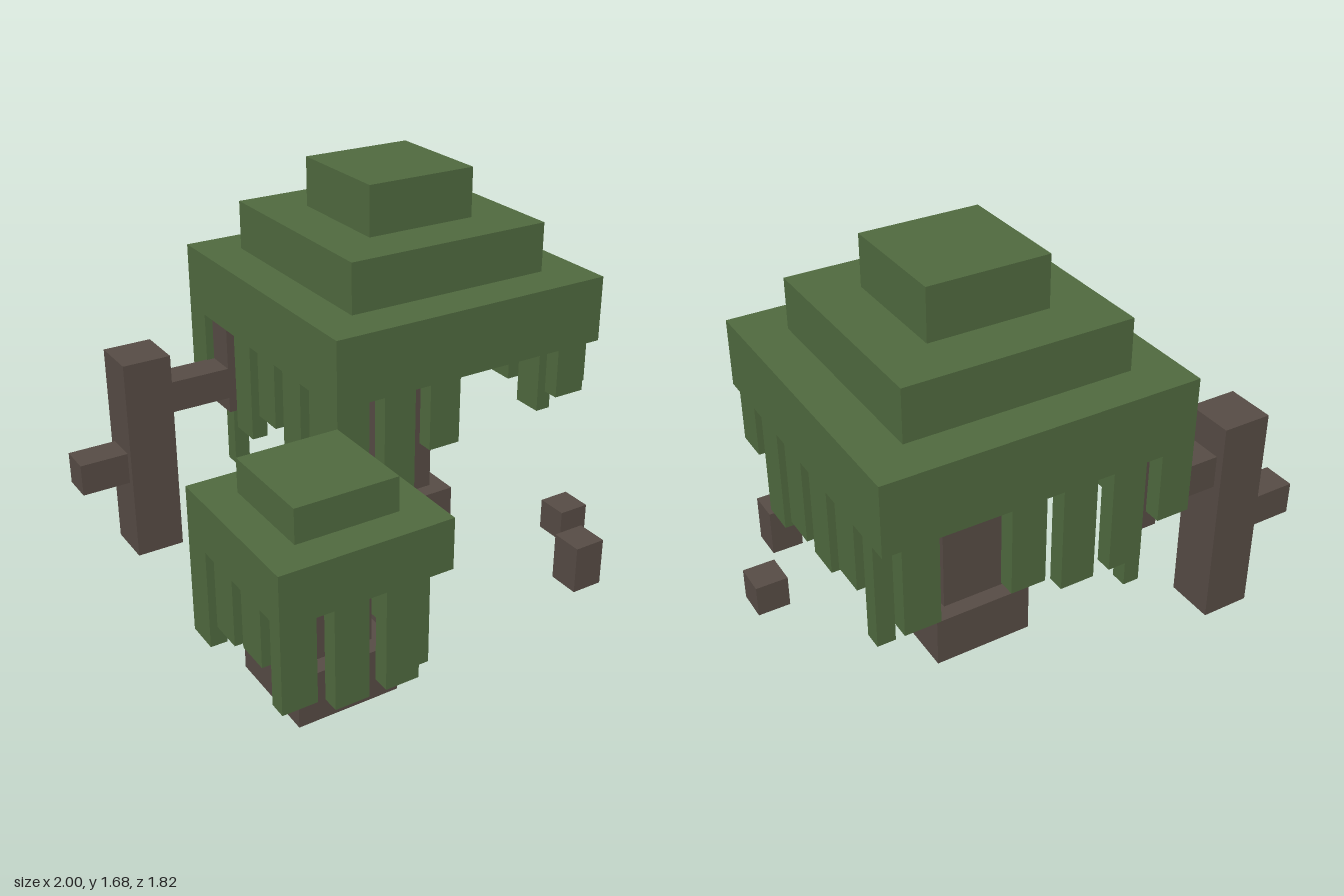
import * as THREE from 'three';

export function createModel() {
  const model = new THREE.Group();
  const leaf = new THREE.MeshStandardMaterial({ color: 0x506a3f });
  leaf.name = 'leaf green';
  const bark = new THREE.MeshStandardMaterial({ color: 0x574c45 });
  bark.name = 'bark brown';

  // Box given by its min and max on each axis
  function block(parent, name, mat, [x0, x1], [y0, y1], [z0, z1]) {
    const mesh = new THREE.Mesh(new THREE.BoxGeometry(x1 - x0, y1 - y0, z1 - z0), mat);
    mesh.position.set((x0 + x1) / 2, (y0 + y1) / 2, (z0 + z1) / 2);
    mesh.name = name;
    parent.add(mesh);
  }
  function group(name) {
    const g = new THREE.Group();
    g.name = name;
    model.add(g);
    return g;
  }

  const W = 0.14, T = 0.07, PITCH = 0.21; // vine width, thickness, spacing

  // Vines hanging along the four edges of a canopy; each number is a vine's
  // lower end, null leaves a gap. Side rows run from front to back.
  function vines(tree, [x0, x1], top, [z0, z1], sideStart, sideEnd, rows) {
    const along = (ends, z, name) => ends.forEach((y, i) => {
      const x = x0 + i * PITCH;
      if (y !== null) block(tree, name, leaf, [x, x + W], [y, top], [z, z + T]);
    });
    const side = (ends, x, name) => ends.forEach((y, i) => {
      const z = sideStart - i * PITCH;
      if (y !== null) block(tree, name, leaf, [x, x + T], [y, top], [Math.max(z - W, sideEnd), z]);
    });
    along(rows.front, z1 - T, 'frontVine');
    along(rows.back, z0, 'backVine');
    side(rows.left, x1 - T, 'leftVine');
    side(rows.right, x0, 'rightVine');
  }

  // Large tree
  const large = group('largeTree');
  block(large, 'trunkBase', bark, [0.085, 0.505], [0, 0.21], [-0.49, -0.07]);
  block(large, 'trunk', bark, [0.155, 0.435], [0.21, 0.985], [-0.42, -0.14]);
  block(large, 'lowerCanopy', leaf, [-0.335, 0.925], [0.985, 1.265], [-0.91, 0.35]);
  block(large, 'middleCanopy', leaf, [-0.16, 0.75], [1.265, 1.475], [-0.74, 0.17]);
  block(large, 'topCanopy', leaf, [0.05, 0.54], [1.475, 1.685], [-0.53, -0.04]);
  vines(large, [-0.335, 0.925], 0.985, [-0.91, 0.35], 0.28, -0.84, {
    front: [0.7, 0.56, 0.705, null, null, 0.775],
    back: [0.7, 0.56, 0.56, 0.63, null, 0.63],
    left: [0.775, 0.56, 0.635, 0.635, 0.705, 0.56],
    right: [0.42, 0.56, 0.7, 0.56, null, 0.7],
  });

  // Small tree
  const small = group('smallTree');
  block(small, 'trunkBase', bark, [-0.755, -0.335], [0, 0.21], [0.35, 0.77]);
  block(small, 'trunk', bark, [-0.685, -0.405], [0.21, 0.56], [0.42, 0.7]);
  block(small, 'lowerCanopy', leaf, [-0.895, -0.195], [0.56, 0.77], [0.21, 0.91]);
  block(small, 'topCanopy', leaf, [-0.755, -0.335], [0.77, 0.91], [0.35, 0.77]);
  vines(small, [-0.895, -0.195], 0.56, [0.21, 0.91], 0.77, 0.21, {
    front: [0.21, 0.145, 0.145],
    back: [null, 0.35, 0.28],
    left: [0.07, 0.14, 0],
    right: [0.32, 0.28, 0.145],
  });

  // Dead tree with a short stub and a branch that turns upward
  const dead = group('deadTree');
  const branchZ = [-0.775, -0.635];
  block(dead, 'deadTrunk', bark, [-0.79, -0.58], [0, 0.91], [-0.81, -0.6]);
  block(dead, 'stubBranch', bark, [-1, -0.79], [0.35, 0.49], branchZ);
  block(dead, 'longBranch', bark, [-0.58, -0.3], [0.63, 0.77], branchZ);
  block(dead, 'raisedBranch', bark, [-0.3, -0.16], [0.56, 0.985], branchZ);
  block(dead, 'branchVine', leaf, [-0.265, -0.195], [0.28, 0.56], [-0.74, -0.67]);

  // Root knees poking out of the ground
  const knees = group('rootKnees');
  [[-0.195, 0.35, 0.14], [0.645, 0.49, 0.21], [0.86, 0.14, 0.14]].forEach(([x, z, h]) =>
    block(knees, 'rootKnee', bark, [x, x + W], [0, h], [z, z + W]));

  return model;
}
